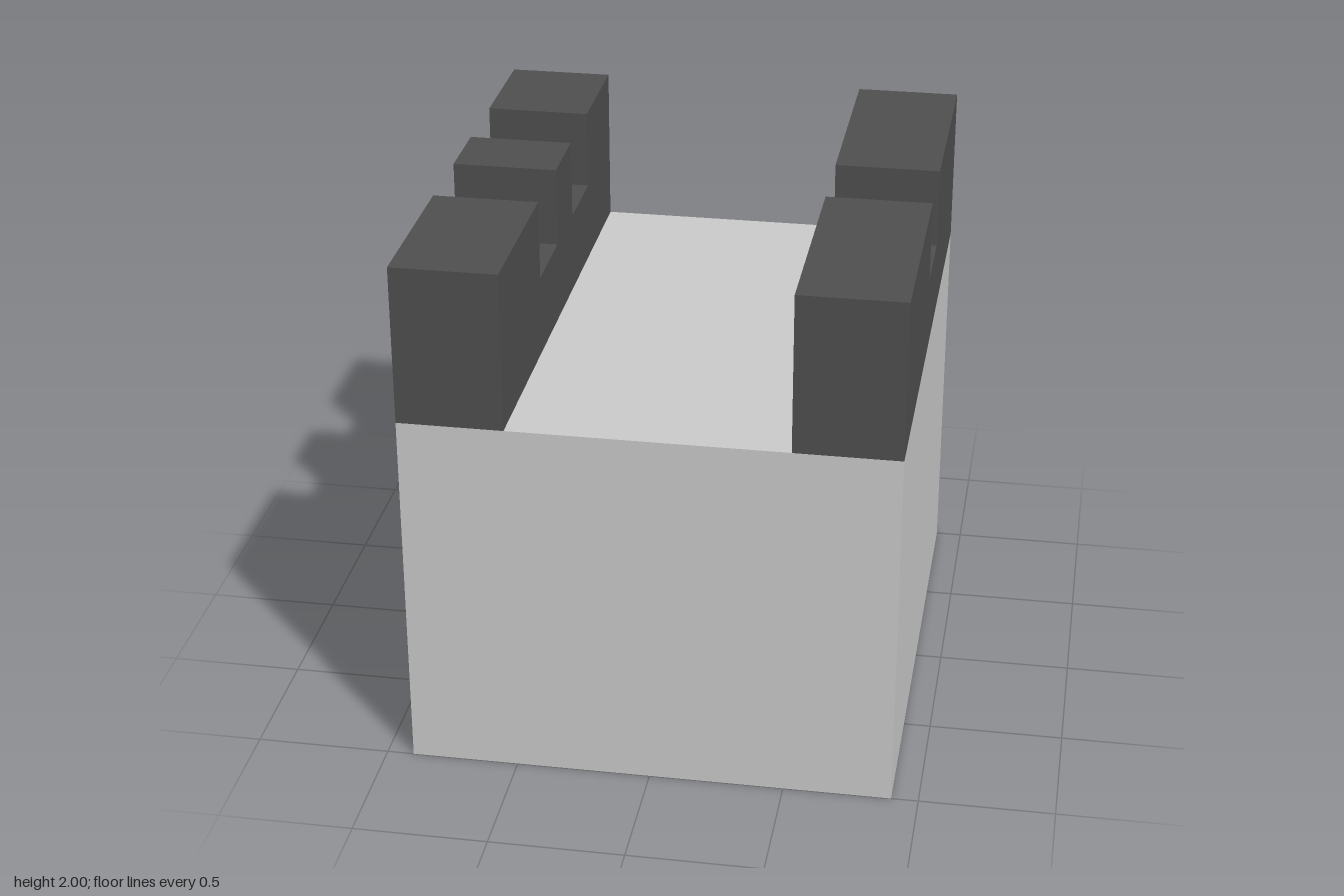
import * as THREE from 'three';

const HALF_X = 0.9, HALF_Z = 1, WALL = 0.39;
const BASE_TOP = 1.4, NOTCH_FLOOR = 1.7, TOP = 2;

const stone = new THREE.MeshStandardMaterial({ color: 0xcccccc, flatShading: true });
const darkStone = new THREE.MeshStandardMaterial({ color: 0x4f4f4f, flatShading: true });

// Extrudes a (z, y) outline across one wall thickness, ending at maxX
function sideSlab(name, points, maxX, material, hole) {
  const shape = new THREE.Shape(points.map(([z, y]) => new THREE.Vector2(z, y)));
  if (hole) shape.holes.push(new THREE.Path(hole.map(([z, y]) => new THREE.Vector2(z, y))));
  const geometry = new THREE.ExtrudeGeometry(shape, { depth: WALL, bevelEnabled: false });
  geometry.rotateY(-Math.PI / 2).translate(maxX, 0, 0);
  const mesh = new THREE.Mesh(geometry, material);
  mesh.name = name;
  return mesh;
}

// Parapet outline with rectangular notches, given as [z0, z1] from front to back
function parapet(name, maxX, notches) {
  const points = [[-HALF_Z, BASE_TOP], [HALF_Z, BASE_TOP], [HALF_Z, TOP]];
  for (const [z0, z1] of notches) {
    points.push([z1, TOP], [z1, NOTCH_FLOOR], [z0, NOTCH_FLOOR], [z0, TOP]);
  }
  points.push([-HALF_Z, TOP]);
  return sideSlab(name, points, maxX, darkStone);
}

export function createModel() {
  const model = new THREE.Group();
  model.name = 'battlementBlock';

  // Solid body behind the windowed wall
  const width = 2 * HALF_X - WALL;
  const body = new THREE.Mesh(new THREE.BoxGeometry(width, BASE_TOP, 2 * HALF_Z), stone);
  body.name = 'body';
  body.position.set(HALF_X - width / 2, BASE_TOP / 2, 0);

  // Right wall with a recessed window near the front
  const windowWall = sideSlab('windowWall',
    [[-HALF_Z, 0], [HALF_Z, 0], [HALF_Z, BASE_TOP], [-HALF_Z, BASE_TOP]],
    -HALF_X + WALL, stone,
    [[0.64, 0.4], [0.64, 1], [0.95, 1], [0.95, 0.4]]);

  // Parapets along both sides
  model.add(
    body,
    windowWall,
    parapet('leftParapet', HALF_X, [[-0.18, 0.13]]),
    parapet('rightParapet', -HALF_X + WALL, [[0.04, 0.35], [-0.55, -0.24]]),
  );
  return model;
}
